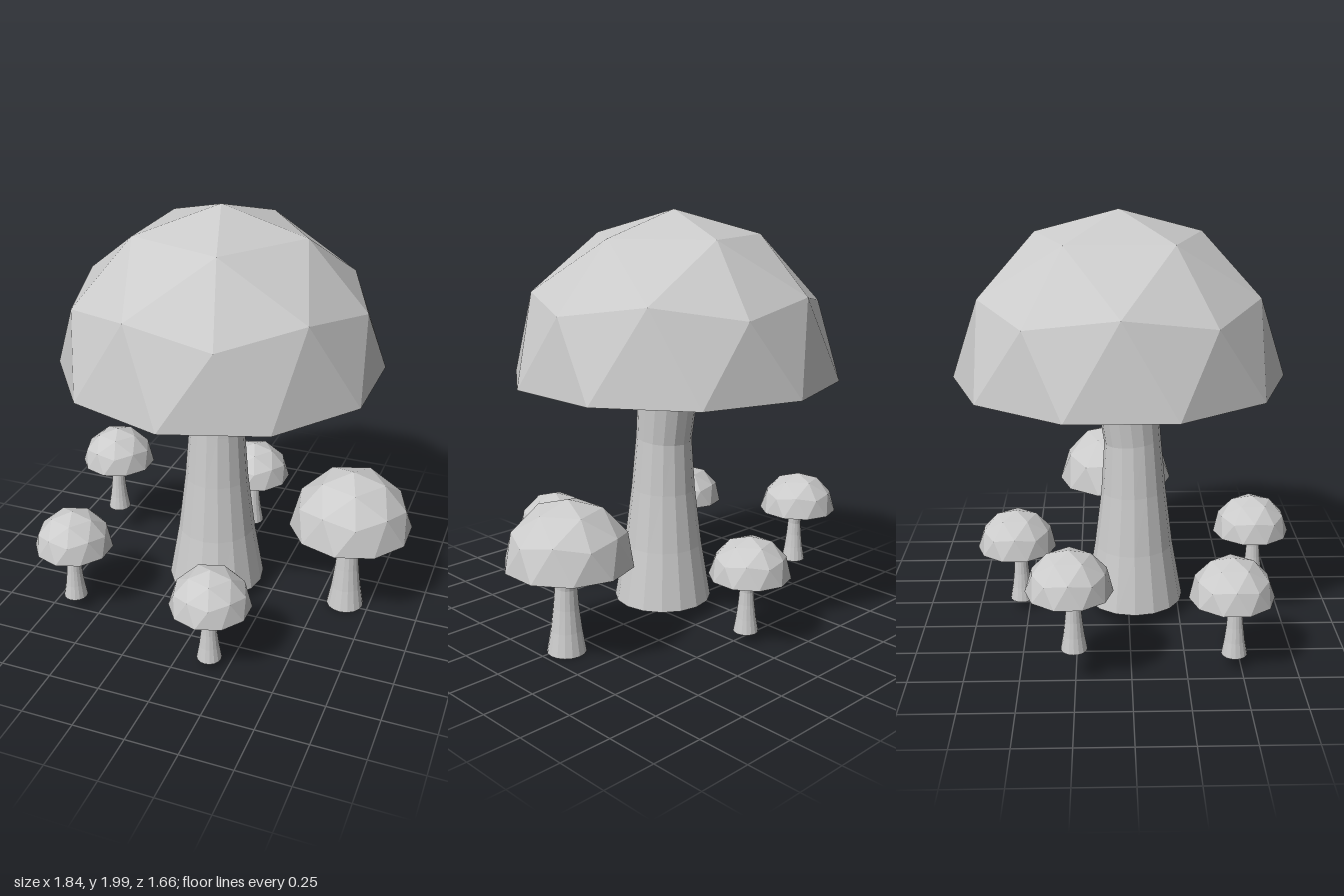
import * as THREE from 'three';
import { mergeGeometries } from 'three/addons/utils/BufferGeometryUtils.js';

const CAP_RADIUS = 0.785;
const CAP_BASE = 1.142;

// Faceted dome: upper half of an icosphere standing on a vertex, closed by a flat decagon
function capGeometry() {
  const ico = new THREE.IcosahedronGeometry(1, 1);
  ico.rotateX(-Math.atan2((1 + Math.sqrt(5)) / 2, 1)).rotateY(Math.PI / 2);
  const p = ico.attributes.position;
  const kept = [];
  for (let i = 0; i < p.count; i += 3) {
    if (p.getY(i) + p.getY(i + 1) + p.getY(i + 2) < 0.01) continue;
    for (let j = i; j < i + 3; j++) kept.push(p.getX(j), p.getY(j), p.getZ(j));
  }
  const dome = new THREE.BufferGeometry();
  dome.setAttribute('position', new THREE.Float32BufferAttribute(kept, 3));

  const under = new THREE.CircleGeometry(1, 10, Math.PI / 10).rotateX(Math.PI / 2).toNonIndexed();
  under.deleteAttribute('uv');
  under.deleteAttribute('normal');

  const geo = mergeGeometries([dome, under]);
  geo.scale(CAP_RADIUS, CAP_RADIUS, CAP_RADIUS).translate(0, CAP_BASE, 0);
  geo.computeVertexNormals();
  return geo;
}

// Curved stem: a cylinder whose rings are resized, shifted and tilted
function stemGeometry() {
  // [height, z offset, radius, tilt] from the ground up
  const rings = [
    [0, 0.073, 0.241, 0],
    [0.285, 0.071, 0.192, 0.01],
    [0.57, 0.07, 0.157, 0.04],
    [0.825, 0.065, 0.137, 0.1],
    [1.11, 0.033, 0.146, 0.24],
    [1.155, 0.003, 0.175, 0],
  ];
  const last = rings.length - 1;
  const geo = new THREE.CylinderGeometry(1, 1, 1, 16, last);
  const p = geo.attributes.position;
  for (let i = 0; i < p.count; i++) {
    const [y, z, r, tilt] = rings[Math.round((p.getY(i) + 0.5) * last)];
    const dz = p.getZ(i) * r;
    p.setXYZ(i, p.getX(i) * r, y + dz * tilt, z + dz);
  }
  geo.computeVertexNormals();
  return geo;
}

export function createModel() {
  const model = new THREE.Group();
  model.name = 'mushroomCluster';
  const material = new THREE.MeshStandardMaterial({ color: 0xcccccc, flatShading: true });
  const capGeo = capGeometry();
  const stemGeo = stemGeometry();

  // One large mushroom surrounded by smaller copies: [name, x, y, z, scale]
  const mushrooms = [
    ['largeMushroom', -0.045, 0.074, -0.045, 1],
    ['mediumMushroom', 0.63, 0.006, -0.057, 0.385],
    ['smallMushroomBackRight', -0.738, 0.16, -0.273, 0.246],
    ['smallMushroomFrontRight', -0.638, 0.07, 0.45, 0.246],
    ['smallMushroomFront', 0.157, 0.043, 0.637, 0.246],
    ['smallMushroomBack', -0.045, 0.058, -0.553, 0.246],
  ];
  for (const [name, x, y, z, scale] of mushrooms) {
    const mushroom = new THREE.Group();
    mushroom.name = name;
    const cap = new THREE.Mesh(capGeo, material);
    cap.name = 'cap';
    const stem = new THREE.Mesh(stemGeo, material);
    stem.name = 'stem';
    mushroom.add(cap, stem);
    mushroom.position.set(x, y, z);
    mushroom.scale.setScalar(scale);
    model.add(mushroom);
  }
  return model;
}
